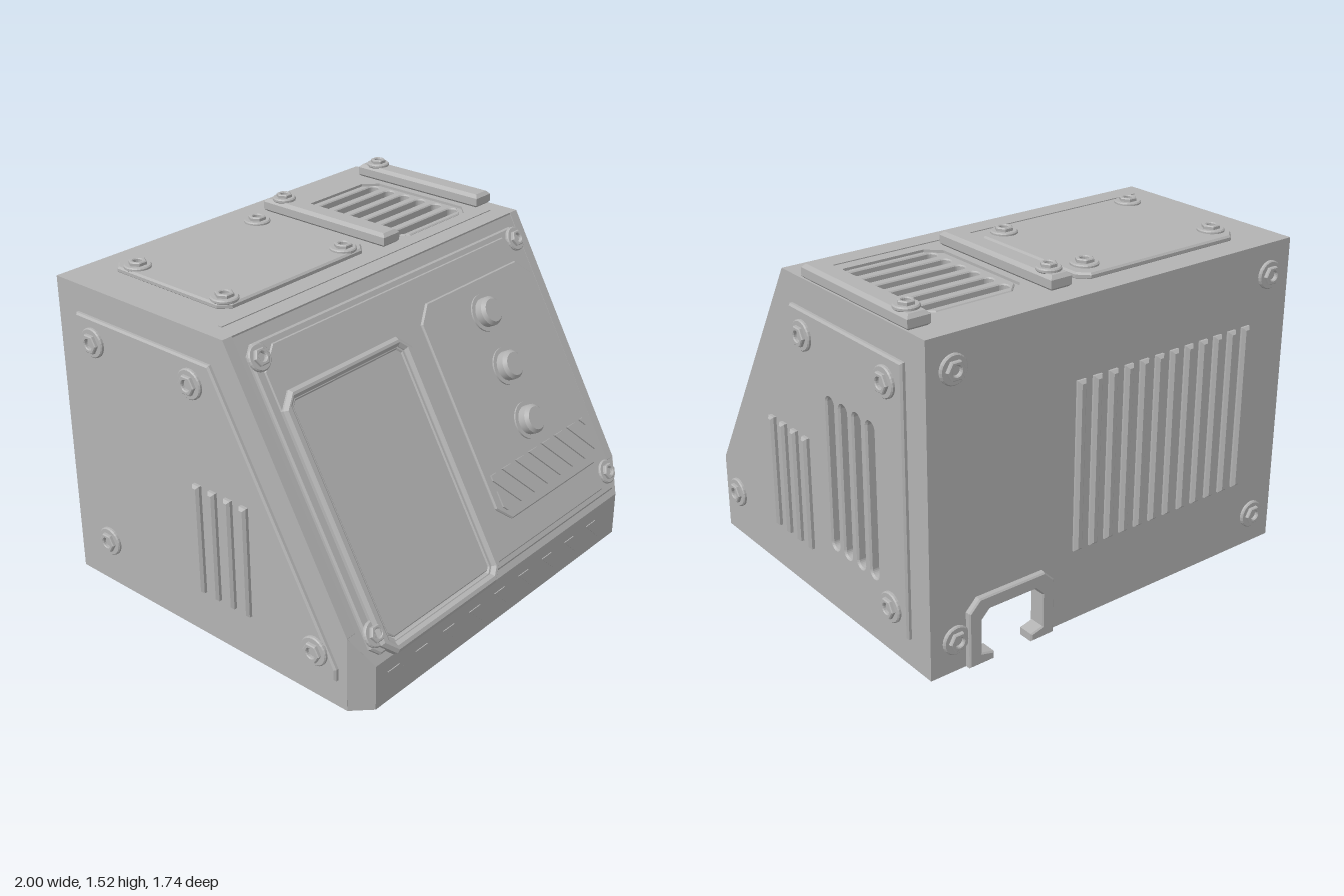
import * as THREE from 'three';
import { toCreasedNormals } from 'three/addons/utils/BufferGeometryUtils.js';

const grey = new THREE.MeshStandardMaterial({ color: 0xb3b3b3 });
grey.name = 'grey plastic';

// ---- outline helpers -------------------------------------------------------
const rect = (x0, y0, x1, y1) => [[x0, y0], [x1, y0], [x1, y1], [x0, y1]];
const octagon = (x0, y0, x1, y1, c) => [
  [x0 + c, y0], [x1 - c, y0], [x1, y0 + c], [x1, y1 - c],
  [x1 - c, y1], [x0 + c, y1], [x0, y1 - c], [x0, y0 + c]];
const ring = (x, y, r, n = 24) => Array.from({ length: n }, (_, i) => {
  const a = (i / n) * Math.PI * 2;
  return [x + r * Math.cos(a), y + r * Math.sin(a)];
});
// Stadium outline: a rectangle with fully rounded short ends
function stadium(cx, cy, w, h) {
  const r = Math.min(w, h) / 2, dx = w / 2 - r, dy = h / 2 - r;
  return ring(0, 0, r, 24).map((p, i) => {
    const a = ((i + 0.5) / 24) * Math.PI * 2;
    return [cx + r * Math.cos(a) + Math.sign(Math.cos(a)) * dx, cy + r * Math.sin(a) + Math.sign(Math.sin(a)) * dy];
  });
}
// Cut an outline at a vertical line, keeping the side where s * (x - lim) >= 0
function clipX(pts, lim, s) {
  const out = [];
  pts.forEach((p, i) => {
    const q = pts[(i + 1) % pts.length], a = s * (p[0] - lim), b = s * (q[0] - lim);
    if (a >= 0) out.push(p);
    if (a * b < 0) out.push([lim, p[1] + (q[1] - p[1]) * a / (a - b)]);
  });
  return out;
}

// ---- mesh helpers ----------------------------------------------------------
function add(parent, name, geo, x = 0, y = 0, z = 0) {
  const m = new THREE.Mesh(geo, grey);
  m.name = name;
  m.position.set(x, y, z);
  parent.add(m);
  return m;
}
// Plate from local depth z0 to z1, optionally bevelled
function slab(parent, name, pts, z0, z1, holes = [], bevel = 0) {
  const v = (l) => l.map(([x, y]) => new THREE.Vector2(x, y));
  const shape = new THREE.Shape(v(pts));
  shape.holes = holes.map((h) => new THREE.Path(v(h)));
  const geo = new THREE.ExtrudeGeometry(shape, {
    depth: z1 - z0 - 2 * bevel, bevelEnabled: bevel > 0, bevelThickness: bevel,
    bevelSize: bevel, bevelOffset: -bevel, bevelSegments: 1 });
  geo.translate(0, 0, z0 + bevel);
  return add(parent, name, geo);
}
function plane(root, name, x, y, z, rx, ry) {
  const g = new THREE.Group();
  g.name = name;
  g.position.set(x, y, z);
  g.rotation.set(rx, ry, 0);
  root.add(g);
  return g;
}
function screw(parent, x, y, z, k = 1) {
  const g = plane(parent, 'screw', x, y, z, 0, 0);
  slab(g, 'washer', ring(0, 0, 0.066 * k), -0.005, 0.014, [], 0.005);
  slab(g, 'hexHead', ring(0, 0, 0.045 * k, 6), 0.01, 0.03, [ring(0, 0, 0.022 * k, 16)], 0.004);
}

export function createModel() {
  const root = new THREE.Group();
  root.name = 'consoleHousing';
  const T = 0.05;
  const winHole = octagon(-0.77, 0.06, -0.12, 1.08, 0.02);

  // Sloping front wall; local y runs up the slope, local z points outwards
  const slope = plane(root, 'slopingFront', 0, 0.21, 0.84, -Math.PI / 6, 0);
  slab(slope, 'slopeWall', [[-0.87, 0], [0.87, 0], [0.95, 0.16], [0.95, 1.408], [-0.95, 1.408], [-0.95, 0.16]], -T, 0, [winHole]);
  slab(slope, 'frontPlate', octagon(-0.875, 0.035, 0.885, 1.35, 0.04), -0.01, 0.02, [winHole], 0.008);
  slab(slope, 'frontPlateInset', octagon(-0.835, 0.065, 0.85, 1.32, 0.09), 0.01, 0.026, [winHole], 0.005);
  slab(slope, 'windowFrame', octagon(-0.835, 0.005, -0.055, 1.13, 0.065), -0.01, 0.05,
    [octagon(-0.785, 0.05, -0.105, 1.09, 0.025)], 0.014);
  slab(slope, 'windowSleeve', octagon(-0.8, 0.03, -0.09, 1.11, 0.05), -0.09, 0.032, [winHole], 0.006);
  for (const x of [-0.835, 0.835]) for (const v of [0.125, 1.29]) screw(slope, x, v, 0.022, 0.85);

  // Control panel with buttons and hazard stripes
  slab(slope, 'controlPanel', octagon(0.05, 0.195, 0.845, 1.2, 0.075), 0.015, 0.036, [], 0.006);
  const buttonGeo = toCreasedNormals(new THREE.LatheGeometry(
    [[0.085, 0], [0.085, 0.01], [0.066, 0.01], [0.066, 0.045], [0.052, 0.06], [0, 0.06]]
      .map(([r, y]) => new THREE.Vector2(r, y)), 32).rotateX(Math.PI / 2), 0.5);
  for (const v of [0.535, 0.795, 1.05]) add(slope, 'button', buttonGeo, 0.445, v, 0.034);
  for (let i = 0; i < 9; i++) {
    const x = -0.03 + i * 0.1;
    const bar = [[x + 0.14, 0.24], [x + 0.2, 0.24], [x + 0.06, 0.41], [x, 0.41]];
    const cut = clipX(clipX(bar, 0.09, 1), 0.8, -1);
    if (cut.length > 2) slab(slope, 'panelStripe', cut, 0.03, 0.044);
  }

  // Upright front wall with stripes
  const front = plane(root, 'lowerFront', 0, 0, 0.84, 0, 0);
  slab(front, 'lowerFrontWall', rect(-0.87, 0, 0.87, 0.21), -T, 0);
  for (let i = 0; i < 9; i++) {
    const x = -0.8 + i * 0.178;
    slab(front, 'frontStripe', [[x + 0.1, 0.05], [x + 0.175, 0.05], [x + 0.075, 0.145], [x, 0.145]], -0.005, 0.004);
  }

  for (const s of [1, -1]) {
    // Cut front corner
    const corner = plane(root, 'cornerChamfer', s * 0.87, 0, 0.84, 0, s * Math.PI / 4);
    slab(corner, 'cornerWall', s > 0 ? [[0, 0], [0.113, 0], [0.113, 0.35], [0, 0.21]]
      : [[-0.113, 0], [0, 0], [0, 0.21], [-0.113, 0.35]], -0.04, 0);

    // Side wall with its raised cover; only the left side has the long slots
    const side = plane(root, s > 0 ? 'leftSide' : 'rightSide', s * 0.95, 0, 0, 0, s * Math.PI / 2);
    const zy = (l) => l.map(([z, y]) => [-s * z, y]);
    const slots = s > 0 ? [-0.21, -0.305, -0.4, -0.495].map((z) => stadium(-z, 0.65, 0.052, 0.68)) : [];
    slab(side, 'sideWall', zy([[-0.84, 0], [0.76, 0], [0.76, 0.35], [0.14, 1.43], [-0.84, 1.43]]), -T, 0, slots);
    slab(side, 'sideCover', zy([[-0.715, 0.13], [0.715, 0.13], [0.715, 0.185], [0.07, 1.305], [-0.715, 1.305]]),
      -0.01, 0.02, slots, 0.008);
    for (const z of [0.244, 0.156, 0.068, -0.02])
      slab(side, 'sideRib', rect(-s * z - 0.019, 0.235, -s * z + 0.019, 0.75), 0, 0.045, [], 0.011);
    for (const [z, y] of [[-0.03, 1.2], [-0.61, 1.2], [-0.61, 0.235], [0.61, 0.235]]) screw(side, -s * z, y, 0.02);
  }

  // Roof; local y points to the back
  const roof = plane(root, 'roof', 0, 1.43, 0, -Math.PI / 2, 0);
  const vent = (d) => octagon(0.31 + d, 0.02 + d, 0.82 - d, 0.64 - d, 0.06);
  slab(roof, 'roofWall', rect(-0.95, -0.14, 0.95, 0.84), -T, 0, [vent(0)]);
  const ventSlots = [0.09, 0.185, 0.28, 0.374, 0.469, 0.564].map((v) => stadium(0.57, v, 0.425, 0.053));
  slab(roof, 'ventGrille', vent(-0.01), -0.045, -0.012, ventSlots);
  slab(roof, 'ventPanel', vent(0.015), -0.03, -0.003, ventSlots, 0.005);
  slab(roof, 'roofCover', octagon(-0.76, 0.04, 0.11, 0.72, 0.045), -0.005, 0.024, [], 0.008);
  for (const x of [-0.7, 0.01]) for (const v of [0.1, 0.615]) screw(roof, x, v, 0.022, 0.9);
  for (const x of [0.23, 0.898]) {
    slab(roof, 'roofRail', rect(x - 0.052, -0.0 + 0.012, x + 0.052, 0.735), -0.005, 0.06, [], 0.015);
    screw(roof, x, 0.655, 0.06, 0.8);
  }
  slab(roof, 'seamStrip', rect(-0.87, -0.055, 0.865, -0.035), -0.005, 0.004);

  // Back wall with cable opening and ribs; local x is reversed
  const back = plane(root, 'back', 0, 0, -0.84, 0, Math.PI);
  slab(back, 'backWall', [[-0.95, 0], [-0.72, 0], [-0.72, 0.24], [-0.41, 0.24], [-0.41, 0], [0.95, 0],
    [0.95, 1.43], [-0.95, 1.43]], -T, 0);
  slab(back, 'cableArch', [[-0.78, 0], [-0.66, 0], [-0.66, 0.035], [-0.72, 0.05], [-0.72, 0.2], [-0.68, 0.24],
    [-0.45, 0.24], [-0.41, 0.2], [-0.41, 0.05], [-0.47, 0.035], [-0.47, 0], [-0.35, 0], [-0.35, 0.25],
    [-0.4, 0.3], [-0.73, 0.3], [-0.78, 0.25]], -T, 0.027, [], 0.006);
  for (let i = 0; i < 12; i++) {
    const x = 0.695 - i * 0.0832;
    slab(back, 'backRib', rect(x - 0.022, 0.335, x + 0.022, 1.09), -0.005, 0.03, [], 0.013);
  }
  for (const x of [-0.83, 0.83]) for (const y of [0.145, 1.29]) screw(back, x, y, 0, 0.95);

  // Inner divider and screw posts
  const inner = plane(root, 'inside', 0.13, 0, 0, 0, Math.PI / 2);
  slab(inner, 'divider', [[-0.77, 0], [0.8, 0], [0.8, 0.915], [-0.375, 0.915], [-0.73, 0.3], [-0.77, 0.2]], -0.015, 0.015);
  for (const [x, z, h] of [[0.85, 0.5, 0.64], [-0.85, 0.5, 0.64], [0.85, -0.75, 1.4], [-0.85, -0.75, 1.4], [0.13, -0.75, 0.9]]) {
    const post = plane(root, 'screwPost', x, 0, z, -Math.PI / 2, 0);
    slab(post, 'postTube', ring(0, 0, 0.05), 0, h, [ring(0, 0, 0.024, 16)]);
  }
  return root;
}
